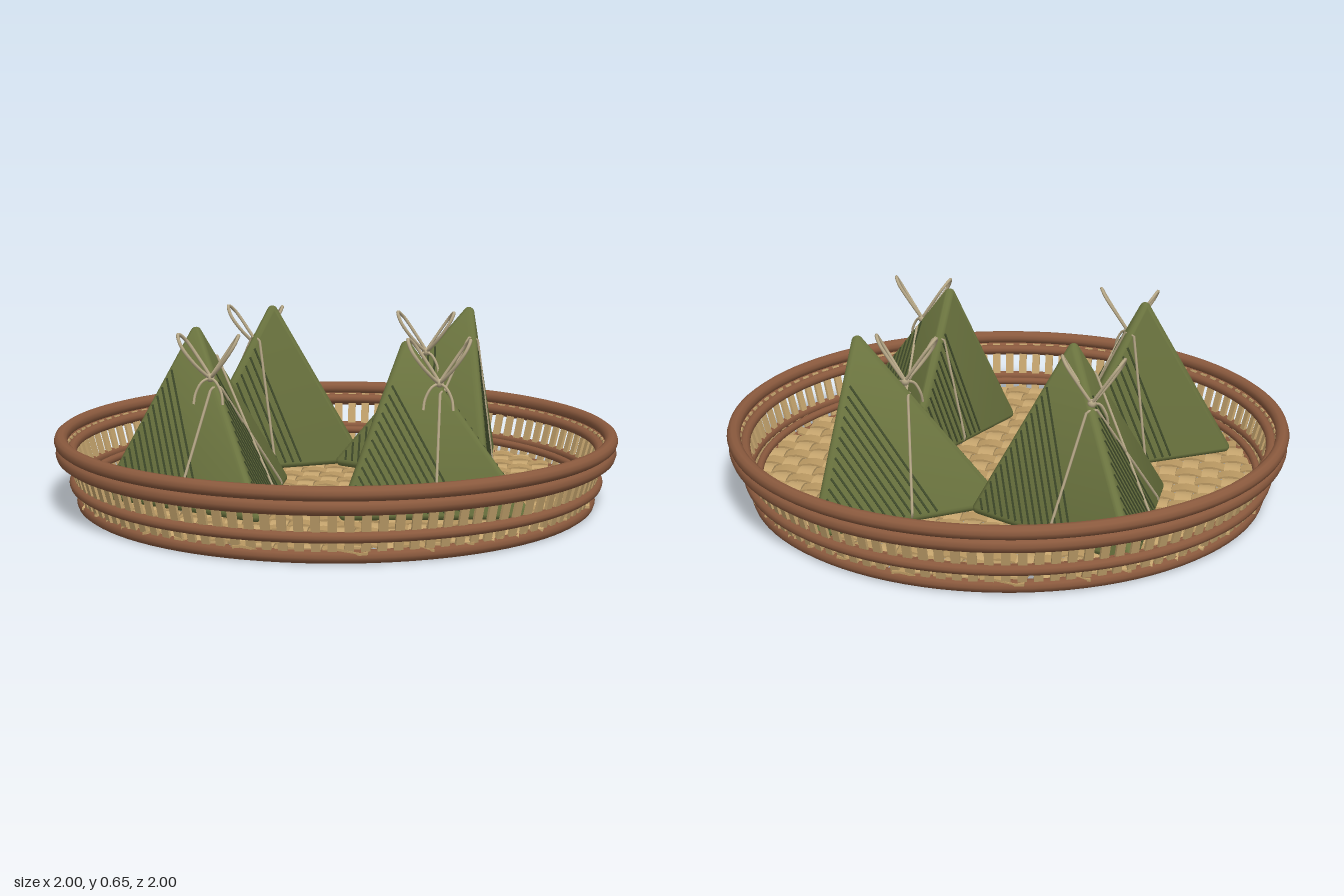
import * as THREE from 'three';
import { mergeGeometries, toCreasedNormals } from 'three/addons/utils/BufferGeometryUtils.js';
import { ConvexGeometry } from 'three/addons/geometries/ConvexGeometry.js';

const V = (x, y, z) => new THREE.Vector3(x, y, z);

function paint(name, hex) {
  const m = new THREE.MeshStandardMaterial({ color: hex });
  m.name = name;
  return m;
}

function part(name, geometry, material) {
  const m = new THREE.Mesh(geometry, material);
  m.name = name;
  return m;
}

// One wavy strip of the woven floor, running along x at z = offset
function weaveStrip(offset, radius, pitch, phase) {
  const length = 2 * Math.sqrt(radius * radius - offset * offset);
  const segs = Math.max(4, Math.round((length / pitch) * 3));
  const g = new THREE.BoxGeometry(length, 0.008, 0.058, segs, 1, 1);
  const p = g.attributes.position;
  for (let i = 0; i < p.count; i++) {
    p.setY(i, p.getY(i) + phase * 0.007 * Math.sin((p.getX(i) / pitch) * Math.PI));
  }
  g.computeVertexNormals();
  return g.translate(0, 0.04, offset);
}

function buildTray(mats) {
  const tray = new THREE.Group();
  tray.name = 'tray';

  // Hoops: [name, radius, height, tube radius]
  const hoops = [
    ['footHoop', 0.902, 0.022, 0.022],
    ['lowerHoop', 0.931, 0.09, 0.018],
    ['outerRimHoop', 0.969, 0.195, 0.026],
    ['topRimHoop', 0.976, 0.24, 0.024],
    ['innerRimHoop', 0.938, 0.2, 0.018],
    ['innerFloorHoop', 0.893, 0.08, 0.014],
  ];
  for (const [name, radius, y, tube] of hoops) {
    const g = new THREE.TorusGeometry(radius, tube, 10, 96).rotateX(Math.PI / 2);
    tray.add(part(name, g.translate(0, y, 0), mats.rim));
  }

  // Two crossing sets of strips, over and under
  const pitch = 0.076, warp = [], weft = [];
  for (let i = -12; i < 12; i++) {
    const phase = i % 2 === 0 ? 1 : -1;
    const offset = (i + 0.5) * pitch;
    if (Math.abs(offset) > 0.88) continue;
    weft.push(weaveStrip(offset, 0.9, pitch, phase));
    warp.push(weaveStrip(offset, 0.9, pitch, phase).rotateY(-Math.PI / 2));
  }
  tray.add(part('floorWeft', mergeGeometries(weft), mats.weft));
  tray.add(part('floorWarp', mergeGeometries(warp), mats.warp));

  // Flared side stakes
  const stakes = [], count = 110;
  for (let i = 0; i < count; i++) {
    const g = new THREE.BoxGeometry(0.03, 0.205, 0.01);
    g.rotateX(Math.atan2(0.055, 0.2)).translate(0, 0.12, 0.93);
    stakes.push(g.rotateY((i / count) * Math.PI * 2));
  }
  tray.add(part('sideStakes', mergeGeometries(stakes), mats.warp));
  return tray;
}

const R = 0.02; // rounding of the dumpling edges

// Outward normal of a triangle, away from the centre
function outward(p, q, r, centre) {
  const n = q.clone().sub(p).cross(r.clone().sub(p)).normalize();
  return n.dot(p.clone().sub(centre)) < 0 ? n.negate() : n;
}

// String wrapped round the body, following a vertical plane through two ground points
function wrapString(corners, centre, from, to) {
  const along = V(to[0] - from[0], 0, to[1] - from[1]).normalize();
  const across = V(-along.z, 0, along.x);
  const side = (p) => (p.x - from[0]) * across.x + (p.z - from[1]) * across.z;
  const points = [];
  for (let skip = 0; skip < 4; skip++) {
    const f = corners.filter((_, i) => i !== skip);
    const n = outward(f[0], f[1], f[2], centre).multiplyScalar(R + 0.003);
    for (let i = 0; i < 3; i++) {
      const p = f[i], q = f[(i + 1) % 3], a = side(p), b = side(q);
      if (a * b < 0) points.push(p.clone().lerp(q, a / (a - b)).add(n));
    }
  }
  const mid = points.reduce((s, p) => s.add(p), V(0, 0, 0)).divideScalar(points.length);
  const angle = (p) => Math.atan2(p.y - mid.y, p.clone().sub(mid).dot(along));
  points.sort((p, q) => angle(p) - angle(q));
  const path = new THREE.CatmullRomCurve3(points, true, 'catmullrom', 0);
  return new THREE.TubeGeometry(path, 100, 0.005, 6, true);
}

// Bow with two raised loops, two tails and a knot
function buildBow(mat) {
  const bow = new THREE.Group();
  bow.name = 'bow';
  bow.add(part('knot', new THREE.SphereGeometry(0.015, 12, 8), mat));
  for (const s of [1, -1]) {
    const loop = new THREE.CatmullRomCurve3([
      V(0, 0, 0), V(s * 0.045, 0.07, -0.012), V(s * 0.085, 0.128, -0.006),
      V(s * 0.104, 0.15, 0.028), V(s * 0.09, 0.115, 0.05), V(s * 0.045, 0.05, 0.038),
    ], true);
    const tail = new THREE.CatmullRomCurve3([
      V(0, 0, 0), V(s * 0.025, -0.012, 0.025), V(s * 0.045, -0.05, 0.035), V(s * 0.05, -0.085, 0.045),
    ]);
    bow.add(part('bowLoop', new THREE.TubeGeometry(loop, 40, 0.006, 6, true), mat));
    bow.add(part('bowTail', new THREE.TubeGeometry(tail, 14, 0.005, 6), mat));
  }
  return bow;
}

// Leaf veins: thin slats slanting down one face from its left edge to its base
function veins(apex, left, right, centre) {
  const n = outward(apex, left, right, centre);
  const slats = [], count = 14;
  for (let i = 0; i < count; i++) {
    const t = 0.24 + (0.7 * i) / (count - 1);
    const a = apex.clone().lerp(left, t);
    const b = left.clone().lerp(right, (1 - t) * 0.85);
    const dir = b.clone().sub(a).normalize();
    const basis = new THREE.Matrix4().makeBasis(dir.clone().cross(n), dir, n);
    basis.setPosition(a.add(b).multiplyScalar(0.5).addScaledVector(n, R + 0.001));
    slats.push(new THREE.BoxGeometry(0.007, b.distanceTo(left) ? dirLength(apex, left, right, t) : 0.01, 0.004).applyMatrix4(basis));
  }
  return slats;
}

function dirLength(apex, left, right, t) {
  return apex.clone().lerp(left, t).distanceTo(left.clone().lerp(right, (1 - t) * 0.85));
}

// Pyramid dumpling: apex [x, y, z], ground corners [x, z] in order, bow position
function buildDumpling({ apex, ground, knot }, mats) {
  const g = new THREE.Group();
  g.name = 'dumpling';
  const mx = (ground[0][0] + ground[1][0] + ground[2][0]) / 3;
  const mz = (ground[0][1] + ground[1][1] + ground[2][1]) / 3;
  const top = V(apex[0], apex[1] - R, apex[2]);
  const base = ground.map(([x, z]) => {
    const inward = V(mx - x, 0, mz - z).setLength(R);
    return V(x, 0.05 + R, z).add(inward);
  });
  const corners = [top, ...base];
  const centre = V(mx, 0.2, mz);

  // Rounded body: hull of a small ball at each corner
  const hull = [];
  const ball = new THREE.SphereGeometry(R, 12, 8).attributes.position;
  for (const c of corners) {
    for (let i = 0; i < ball.count; i++) hull.push(V(0, 0, 0).fromBufferAttribute(ball, i).add(c));
  }
  g.add(part('leafBody', toCreasedNormals(new ConvexGeometry(hull), 0.7), mats.leaf));

  const slats = [];
  for (let i = 0; i < 3; i++) slats.push(...veins(top, base[(i + 1) % 3], base[i], centre));
  g.add(part('leafVeins', mergeGeometries(slats), mats.vein));

  // Strings: one under the bow, one across the first corner
  const [a, b, c] = ground;
  const mid = (p, q) => [(p[0] + q[0]) / 2, (p[1] + q[1]) / 2];
  g.add(part('stringUnderBow', wrapString(corners, centre, [knot[0], knot[2]], mid(b, c)), mats.string));
  g.add(part('stringAcrossCorner', wrapString(corners, centre, mid(a, b), mid(a, c)), mats.string));
  const bow = buildBow(mats.string);
  bow.position.set(...knot);
  g.add(bow);
  return g;
}

export function createModel() {
  const mats = {
    rim: paint('brown cane', 0x8b5a3e),
    warp: paint('light bamboo', 0xc6a56e),
    weft: paint('bamboo', 0xb99862),
    leaf: paint('leaf green', 0x6b743f),
    vein: paint('dark leaf green', 0x3f4a2a),
    string: paint('straw string', 0xb8a988),
  };
  const dumplings = [
    { apex: [-0.28, 0.655, -0.32], ground: [[-0.565, -0.075], [-0.54, -0.735], [0.05, -0.4]], knot: [-0.36, 0.49, -0.44] },
    { apex: [0.45, 0.655, -0.37], ground: [[0.54, -0.01], [-0.04, -0.325], [0.525, -0.71]], knot: [0.295, 0.49, -0.335] },
    { apex: [-0.46, 0.645, 0.22], ground: [[-0.19, 0.03 - 0.06], [-0.18, 0.61], [-0.775, 0.33]], knot: [-0.385, 0.49, 0.355] },
    { apex: [0.28, 0.625, 0.33], ground: [[0.35, -0.065], [0.705, 0.45], [0.08, 0.545]], knot: [0.395, 0.49, 0.37] },
  ];
  const model = new THREE.Group();
  model.name = 'dumplingTray';
  model.add(buildTray(mats));
  for (const d of dumplings) model.add(buildDumpling(d, mats));
  return model;
}
